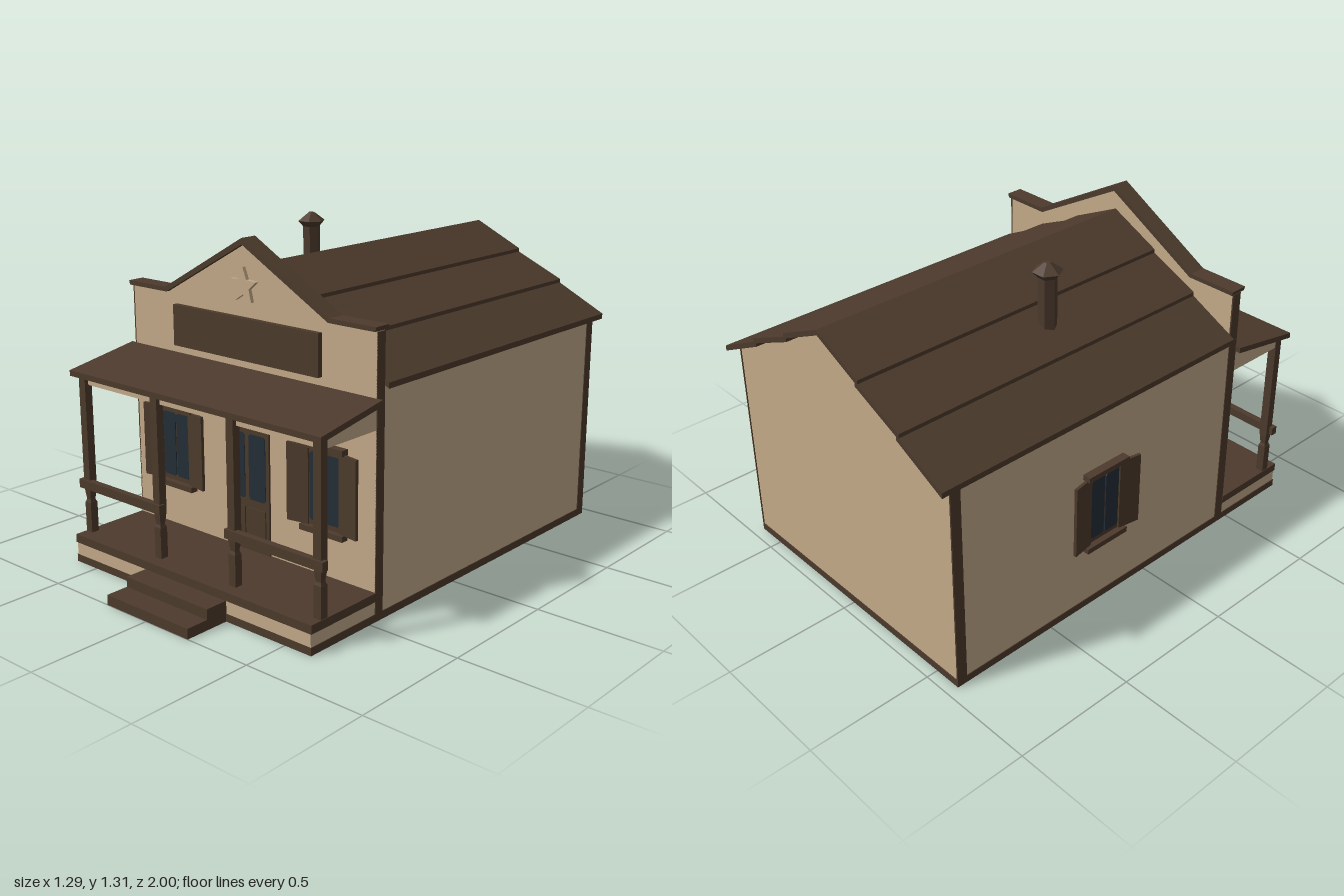
import * as THREE from 'three';

const timber = new THREE.MeshStandardMaterial({ color: 0x4c3a2c });
const plaster = new THREE.MeshStandardMaterial({ color: 0xc3aa89 });
const glass = new THREE.MeshStandardMaterial({ color: 0x222e36 });
timber.name = 'dark timber';
plaster.name = 'tan siding';
glass.name = 'dark glass';

function add(parent, name, geometry, material) {
  const mesh = new THREE.Mesh(geometry, material);
  mesh.name = name;
  parent.add(mesh);
  return mesh;
}

// Box given by its minimum and maximum on each axis
function box(parent, name, material, [x0, x1], [y0, y1], [z0, z1]) {
  const mesh = add(parent, name, new THREE.BoxGeometry(x1 - x0, y1 - y0, z1 - z0), material);
  mesh.position.set((x0 + x1) / 2, (y0 + y1) / 2, (z0 + z1) / 2);
  return mesh;
}

// Outline in x and y, extruded from z0 to z1
function slab(parent, name, material, points, z0, z1) {
  const shape = new THREE.Shape(points.map(([x, y]) => new THREE.Vector2(x, y)));
  const geometry = new THREE.ExtrudeGeometry(shape, { depth: z1 - z0, bevelEnabled: false });
  geometry.translate(0, 0, z0);
  return add(parent, name, geometry, material);
}

// Thin panel with clipped corners
function panel(parent, name, material, x, y, w, h, z0, z1) {
  const a = w / 2, b = h / 2, c = 0.008;
  const outline = [[-a + c, -b], [a - c, -b], [a, -b + c], [a, b - c],
    [a - c, b], [-a + c, b], [-a, b - c], [-a, -b + c]];
  return slab(parent, name, material, outline.map(([u, v]) => [u + x, v + y]), z0, z1);
}

// Window on a wall facing +z, with header, sill and half-open shutters
function makeWindow(name) {
  const g = new THREE.Group();
  g.name = name;
  box(g, 'windowFrame', timber, [-0.075, 0.075], [0.3, 0.6], [-0.005, 0.008]);
  box(g, 'windowHeader', timber, [-0.102, 0.102], [0.598, 0.62], [-0.005, 0.032]);
  box(g, 'windowSill', timber, [-0.102, 0.102], [0.278, 0.3], [-0.005, 0.032]);
  for (const s of [-1, 1]) {
    panel(g, 'windowPane', glass, s * 0.0365, 0.45, 0.066, 0.26, 0.006, 0.012);
    const hinge = new THREE.Group();
    hinge.name = 'shutter';
    hinge.position.set(s * 0.075, 0, 0.004);
    hinge.rotation.y = -s * 0.17;
    box(hinge, 'shutterBoard', timber, s > 0 ? [0, 0.092] : [-0.092, 0], [0.3, 0.6], [0, 0.012]);
    g.add(hinge);
  }
  return g;
}

export function createModel() {
  const model = new THREE.Group();
  model.name = 'storefront';
  model.position.x = 0.003;

  // Main hall with gable, base board and rear corner boards
  slab(model, 'hall', plaster,
    [[-0.615, 0.02], [0.615, 0.02], [0.615, 0.865], [0, 1.185], [-0.615, 0.865]], -0.95, 0.43);
  box(model, 'baseBoard', timber, [-0.618, 0.618], [0, 0.03], [-0.953, 0.47]);
  for (const s of [-1, 1]) {
    const edge = [s * 0.615 - 0.003, s * 0.615 + 0.003];
    box(model, 'rearCornerBoard', timber, edge, [0.03, 0.862], [-0.953, -0.91]);
    box(model, 'frontCornerBoard', timber, edge, [0.03, 1.06], [0.429, 0.47]);
  }

  // Three overlapping roof boards on each slope
  const boards = [[0, 1.21, 0.215, 1.108], [0.2, 1.1, 0.425, 1.0], [0.41, 0.992, 0.636, 0.88]];
  for (const s of [-1, 1]) {
    for (const [x0, y0, x1, y1] of boards) {
      slab(model, 'roofBoard', timber,
        [[s * x0, y0], [s * x1, y1], [s * x1, y1 - 0.022], [s * x0, y0 - 0.022]], -1, 0.43);
    }
  }

  // False front with capping
  slab(model, 'falseFront', plaster,
    [[-0.615, 0.02], [0.615, 0.02], [0.615, 1.067], [0.41, 1.067], [0, 1.292],
      [-0.41, 1.067], [-0.615, 1.067]], 0.43, 0.47);
  slab(model, 'frontCapping', timber,
    [[-0.618, 1.063], [-0.41, 1.063], [0, 1.289], [0.41, 1.063], [0.618, 1.063],
      [0.623, 1.08], [0.417, 1.08], [0, 1.313], [-0.417, 1.08], [-0.623, 1.08]], 0.417, 0.487);

  // Sign board and star
  box(model, 'signBoard', timber, [-0.368, 0.368], [0.86, 1.02], [0.465, 0.492]);
  const star = [];
  for (let i = 0; i < 10; i++) {
    const r = i % 2 ? 0.031 : 0.07, a = Math.PI / 2 + i * Math.PI / 5;
    star.push([r * Math.cos(a), 1.137 + r * Math.sin(a)]);
  }
  slab(model, 'star', plaster, star, 0.465, 0.485);

  // Double door with panes and lower panels
  box(model, 'door', timber, [-0.112, 0.112], [0.113, 0.598], [0.465, 0.478]);
  for (const x of [-0.053, 0.053]) {
    panel(model, 'doorPane', glass, x, 0.45, 0.084, 0.258, 0.476, 0.481);
    box(model, 'doorPanel', timber, [x - 0.042, x + 0.042], [0.16, 0.288], [0.476, 0.483]);
  }

  // Two front windows and one on the right wall
  for (const s of [-1, 1]) {
    const w = makeWindow('frontWindow');
    w.position.set(s * 0.386, 0, 0.47);
    model.add(w);
  }
  const sideWindow = makeWindow('sideWindow');
  sideWindow.position.set(-0.617, 0, -0.243);
  sideWindow.rotation.y = -Math.PI / 2;
  model.add(sideWindow);

  // Porch deck and steps
  box(model, 'porchBase', timber, [-0.618, 0.618], [0, 0.03], [0.47, 0.813]);
  box(model, 'porchSkirt', plaster, [-0.615, 0.615], [0.03, 0.08], [0.47, 0.811]);
  box(model, 'porchDeck', timber, [-0.62, 0.62], [0.08, 0.113], [0.468, 0.813]);
  box(model, 'lowerStep', timber, [-0.213, 0.213], [0, 0.04], [0.8, 1]);
  box(model, 'upperStep', timber, [-0.213, 0.213], [0.04, 0.08], [0.8, 0.906]);

  // Porch roof over a wedge-shaped beam; outlines run along z, then turn to lie across x
  const across = (name, material, points, half) => {
    const mesh = slab(model, name, material, points.map(([z, y]) => [-z, y]), -half, half);
    mesh.rotation.y = Math.PI / 2;
  };
  across('porchBeam', plaster, [[0.47, 0.715], [0.745, 0.715], [0.745, 0.765], [0.47, 0.812]], 0.615);
  across('porchRoof', timber, [[0.468, 0.805], [0.786, 0.75], [0.786, 0.772], [0.468, 0.828]], 0.64);

  // Posts with a small turned waist
  for (const x of [-0.601, -0.196, 0.196, 0.601]) {
    const post = new THREE.Group();
    post.name = 'porchPost';
    box(post, 'postFoot', timber, [-0.0165, 0.0165], [0.113, 0.235], [-0.0165, 0.0165]);
    const profile = [[0.022, 0.235], [0.016, 0.247], [0.021, 0.275], [0.0233, 0.295]]
      .map(([r, y]) => new THREE.Vector2(r, y));
    add(post, 'postWaist', new THREE.LatheGeometry(profile, 4, Math.PI / 4).toNonIndexed(), timber)
      .geometry.computeVertexNormals();
    box(post, 'postShaft', timber, [-0.0175, 0.0175], [0.29, 0.764], [-0.0165, 0.0165]);
    post.position.set(x, 0, 0.745);
    model.add(post);
  }

  // Rails
  for (const s of [-1, 1]) {
    box(model, 'porchRail', timber, [s * 0.402 - 0.232, s * 0.402 + 0.232], [0.295, 0.33], [0.745, 0.772]);
  }

  // Six-sided chimney pipe with pointed cap
  const chimney = new THREE.Group();
  chimney.name = 'chimney';
  chimney.position.set(-0.293, 0, -0.218);
  const hexTube = (name, top, bottom, y0, y1) => {
    const geometry = new THREE.CylinderGeometry(top, bottom, y1 - y0, 6, 1, false, Math.PI / 6)
      .toNonIndexed();
    geometry.computeVertexNormals();
    add(chimney, name, geometry, timber).position.y = (y0 + y1) / 2;
  };
  hexTube('chimneyPipe', 0.036, 0.036, 1.0, 1.25);
  hexTube('chimneyCollar', 0.057, 0.036, 1.245, 1.268);
  hexTube('chimneyCap', 0.012, 0.057, 1.268, 1.302);
  model.add(chimney);

  return model;
}
